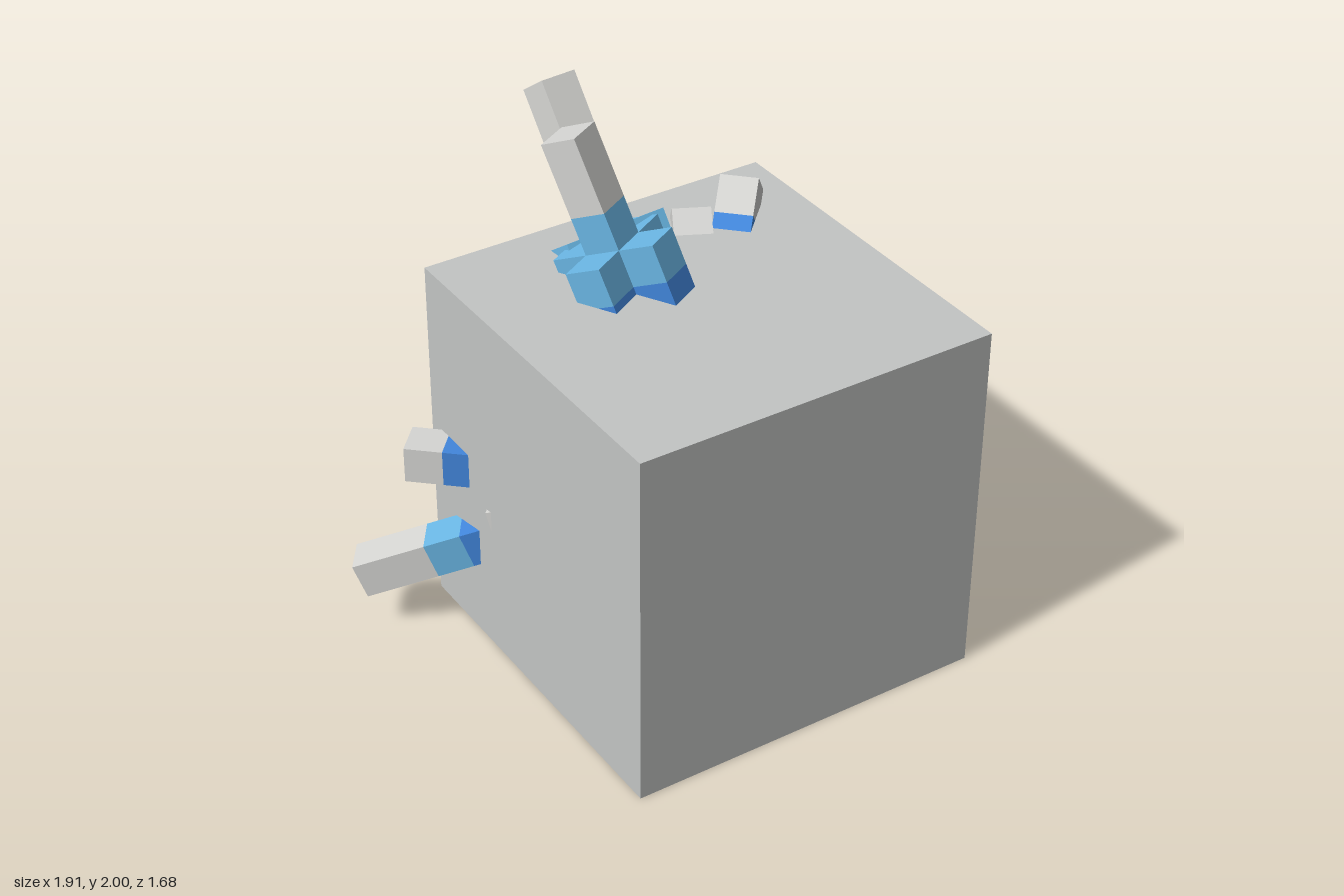
import * as THREE from 'three';

const V = 0.145; // side of one small cube

const mat = (name, color) => {
  const m = new THREE.MeshStandardMaterial({ color });
  m.name = name;
  return m;
};

export function createModel() {
  const stone = mat('stone grey', 0xc3c5c4);
  const tip = mat('tip grey', 0xd6d6d3);
  const light = mat('light blue', 0x6bb8e6);
  const blue = mat('deep blue', 0x4287dc);

  const model = new THREE.Group();
  model.name = 'crystalBlock';

  const block = new THREE.Mesh(new THREE.BoxGeometry(1.437, 1.44, 1.437), stone);
  block.name = 'block';
  block.position.set(0.16, 0.72, 0.117);
  model.add(block);

  // Group whose +y runs along the crystal, with the origin at its tip
  function crystalFrame(name, end, axis) {
    const u = new THREE.Vector3(...axis).normalize();
    const r = u.clone().cross(new THREE.Vector3(0, 1, 0)).normalize();
    const f = r.clone().cross(u);
    const g = new THREE.Group();
    g.name = name;
    g.quaternion.setFromRotationMatrix(new THREE.Matrix4().makeBasis(r, u, f));
    g.position.set(...end);
    model.add(g);
    return g;
  }

  // Square column of coloured segments, running down from y = top (in cubes)
  function column(group, name, segments, x = 0, top = 0, z = 0) {
    let y = top;
    for (const [count, material] of segments) {
      const m = new THREE.Mesh(new THREE.BoxGeometry(V, V * count, V), material);
      m.name = name;
      m.position.set(x * V, (y - count / 2) * V, z * V);
      group.add(m);
      y -= count;
    }
  }

  // Tall crystals with four short columns around the foot
  const clusters = [
    ['frontCluster', [-0.105, 1.97, -0.345], [-0.195, 0.917, -0.347], -3],
    ['backCluster', [0.075, 1.94, -0.775], [-0.05, 0.81, -0.585], -4],
  ];
  for (const [name, end, axis, foot] of clusters) {
    const g = crystalFrame(name, end, axis);
    column(g, 'tallCrystal', [[2, tip], [-foot - 1, light], [1, blue]]);
    for (const [x, z] of [[1, 0], [-1, 0], [0, 1], [0, -1]]) {
      column(g, 'shortCrystal', [[1, light], [1, blue]], x, foot, z);
    }
  }

  // Single crystals breaking through the top and the sides
  const singles = [
    ['topSmallCrystal', [0.437, 1.456, -0.388], [0.33, 0.67, -0.66], [[2, tip]]],
    ['topLargeCrystal', [0.655, 1.533, -0.37], [0.5, 0.69, -0.5], [[1, tip], [1, blue]]],
    ['lowerSideCrystal', [-0.894, 0.222, -0.59], [-0.77, -0.356, -0.53], [[2, tip], [1, light], [1, blue]]],
    ['upperSideCrystal', [-0.69, 0.705, -0.55], [-0.74, 0, -0.67], [[1, tip], [1, blue]]],
    ['cornerCrystal', [-0.51, 0.54, -0.231], [-0.7, -0.25, -0.7], [[1, tip]]],
    ['leftSideCrystal', [0.904, 0.57, -0.425], [0.8, -0.12, -0.56], [[1, tip]]],
  ];
  for (const [name, end, axis, segments] of singles) {
    column(crystalFrame(name, end, axis), name, segments);
  }

  return model;
}
